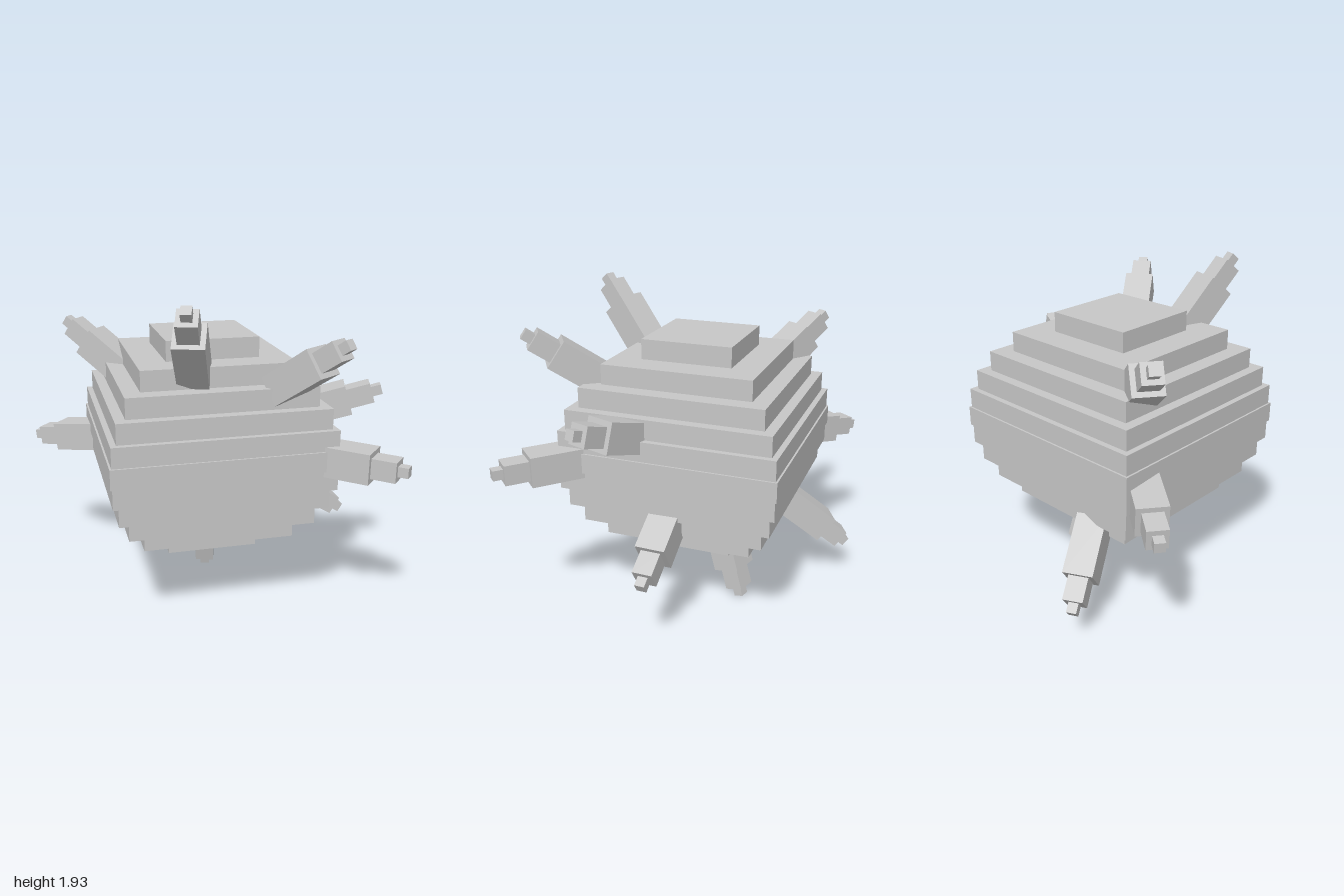
import * as THREE from 'three';

const UNIT = 0.1173; // height of one body layer
const RADIUS = 5.5;  // body radius in layers
const CENTRE = new THREE.Vector3(-0.02, 1.024, -0.012);

// End point of each spike
const SPIKE_TIPS = [
  [-0.765, 1.665, -0.575],
  [-0.27, 1.91, 0.71],
  [0.555, 1.725, 0.83],
  [0.978, 1.345, 0.335],
  [0.919, 1.02, 0.87],
  [0.892, 0.465, 0.012],
  [0.068, 0.008, -0.31],
  [-0.45, 0.233, -0.86],
  [-0.983, 0.865, -0.765],
];

export function createModel() {
  const model = new THREE.Group();
  const grey = new THREE.MeshStandardMaterial({ color: 0xc7c7c7 });
  grey.name = 'lightGrey';

  // Body: square slabs whose widths follow a circle
  const body = new THREE.Group();
  body.name = 'body';
  for (let i = -5; i <= 5; i++) {
    const width = 2 * UNIT * Math.sqrt(RADIUS * RADIUS - i * i);
    const slab = new THREE.Mesh(new THREE.BoxGeometry(width, UNIT, width), grey);
    slab.name = 'bodyLayer';
    slab.position.set(CENTRE.x, CENTRE.y + i * UNIT, CENTRE.z);
    body.add(slab);
  }
  model.add(body);

  // Spikes: three stepped boxes pointing away from the centre, local +z outward
  const steps = [
    ['spikeTip', 0.5, 0.5],
    ['spikeMiddle', 1, 1.2],
    ['spikeBase', 1.5, 3],
  ];
  for (const tip of SPIKE_TIPS) {
    const spike = new THREE.Group();
    spike.name = 'spike';
    spike.position.set(...tip);
    spike.lookAt(spike.position.clone().multiplyScalar(2).sub(CENTRE));
    let z = 0;
    for (const [name, width, length] of steps) {
      const box = new THREE.Mesh(
        new THREE.BoxGeometry(width * UNIT, width * UNIT, length * UNIT), grey);
      box.name = name;
      box.position.z = z - length * UNIT / 2;
      z -= length * UNIT;
      spike.add(box);
    }
    model.add(spike);
  }
  return model;
}
